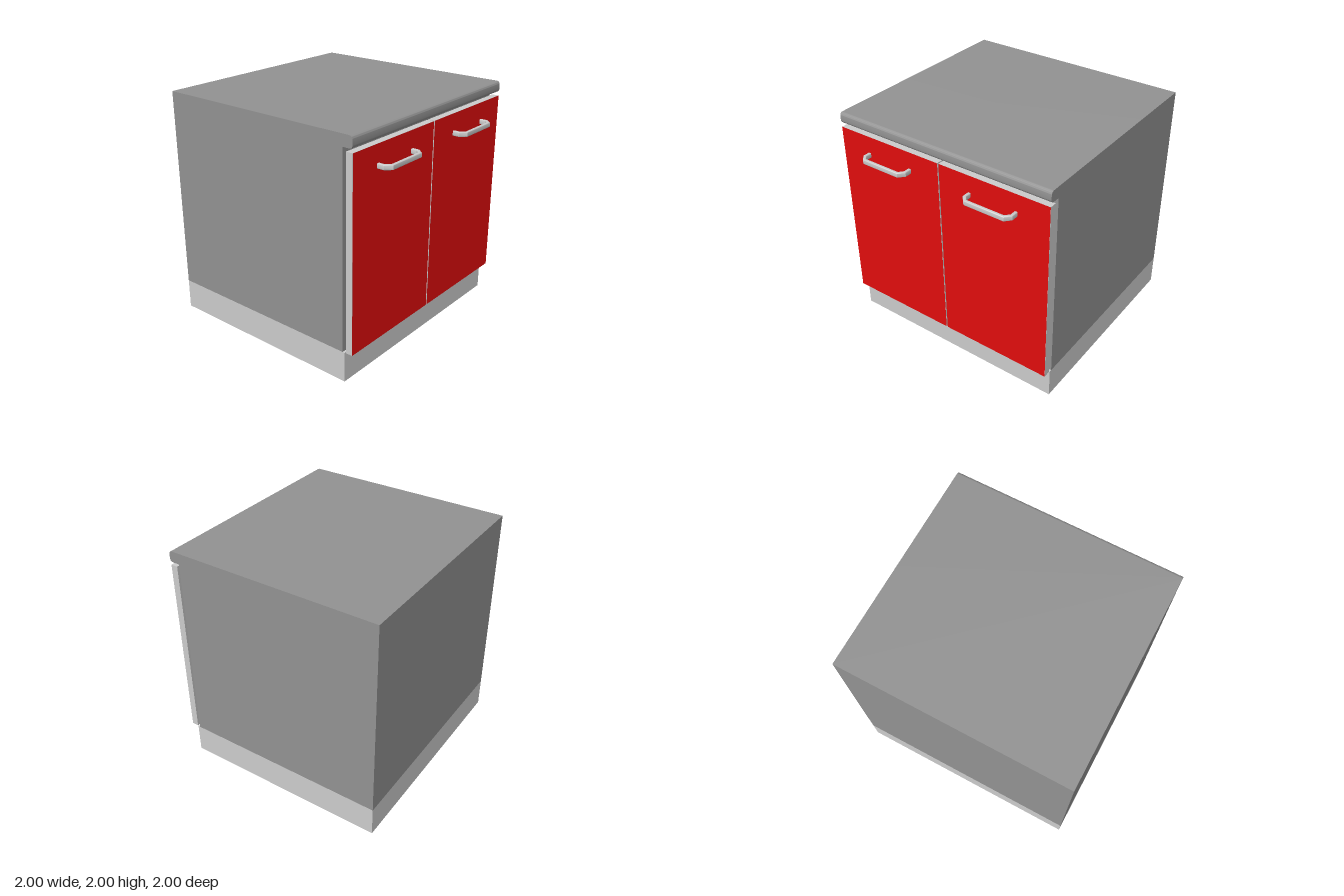
import * as THREE from 'three';
import { toCreasedNormals } from 'three/addons/utils/BufferGeometryUtils.js';

const grey = new THREE.MeshStandardMaterial({ color: 0xcccccc });
const darkGrey = new THREE.MeshStandardMaterial({ color: 0x929292 });
const red = new THREE.MeshStandardMaterial({ color: 0xe00d0d });

function add(parent, name, geometry, material) {
  const mesh = new THREE.Mesh(geometry, material);
  mesh.name = name;
  parent.add(mesh);
  return mesh;
}

// Box given by its limits on each axis
function box(x0, x1, y0, y1, z0, z1) {
  return new THREE.BoxGeometry(x1 - x0, y1 - y0, z1 - z0)
    .translate((x0 + x1) / 2, (y0 + y1) / 2, (z0 + z1) / 2);
}

// Worktop: side profile with rounded front edges, extruded across the width
function worktopGeometry() {
  const back = -1, front = 0.89, bottom = 1.905, top = 2, r = 0.028;
  const s = new THREE.Shape();
  s.moveTo(back, bottom);
  s.lineTo(front - r, bottom);
  s.absarc(front - r, bottom + r, r, -Math.PI / 2, 0);
  s.absarc(front - r, top - r, r, 0, Math.PI / 2);
  s.lineTo(back, top);
  s.closePath();
  const g = new THREE.ExtrudeGeometry(s, { depth: 2, bevelEnabled: false, curveSegments: 8 });
  g.rotateY(-Math.PI / 2).translate(1, 0, 0);
  return toCreasedNormals(g, 0.6);
}

// Handle: bow with chamfered corners, outlined from above and softly bevelled
function handleGeometry() {
  const outer = [[0.223, 0.885], [0.223, 0.95], [0.178, 1], [-0.178, 1], [-0.223, 0.95], [-0.223, 0.885]];
  const inner = [[-0.197, 0.885], [-0.197, 0.94], [-0.167, 0.974], [0.167, 0.974], [0.197, 0.94], [0.197, 0.885]];
  const shape = new THREE.Shape([...outer, ...inner].map(([x, z]) => new THREE.Vector2(x, z)));
  const b = 0.007, height = 0.042;
  const g = new THREE.ExtrudeGeometry(shape, {
    depth: height - 2 * b, bevelThickness: b, bevelSize: b, bevelOffset: -b, bevelSegments: 3,
  });
  g.rotateX(Math.PI / 2).translate(0, 1.73 - b, 0);
  return toCreasedNormals(g, 0.6);
}

export function createModel() {
  const cabinet = new THREE.Group();
  cabinet.name = 'kitchenCabinet';

  add(cabinet, 'plinth', box(-1, 1, 0, 0.26, -1, 0.82), grey);
  add(cabinet, 'carcass', box(-1, 1, 0.26, 1.905, -1, 0.8), darkGrey);
  add(cabinet, 'worktop', worktopGeometry(), darkGrey);

  // Two doors, each a grey board with a red front and a handle
  const bottom = 0.26, top = 1.875, inside = 0.006, outside = 0.996;
  for (const [side, sign] of [['right', -1], ['left', 1]]) {
    const door = new THREE.Group();
    door.name = side + 'Door';
    cabinet.add(door);
    const [x0, x1] = sign < 0 ? [-outside, -inside] : [inside, outside];
    add(door, 'doorBoard', box(x0, x1, bottom, top, 0.828, 0.888), grey);
    const front = new THREE.PlaneGeometry(x1 - x0, top - bottom)
      .translate((x0 + x1) / 2, (bottom + top) / 2, 0.89);
    add(door, 'doorFront', front, red);
    add(door, 'handle', handleGeometry(), grey).position.x = sign * 0.5;
  }
  return cabinet;
}
